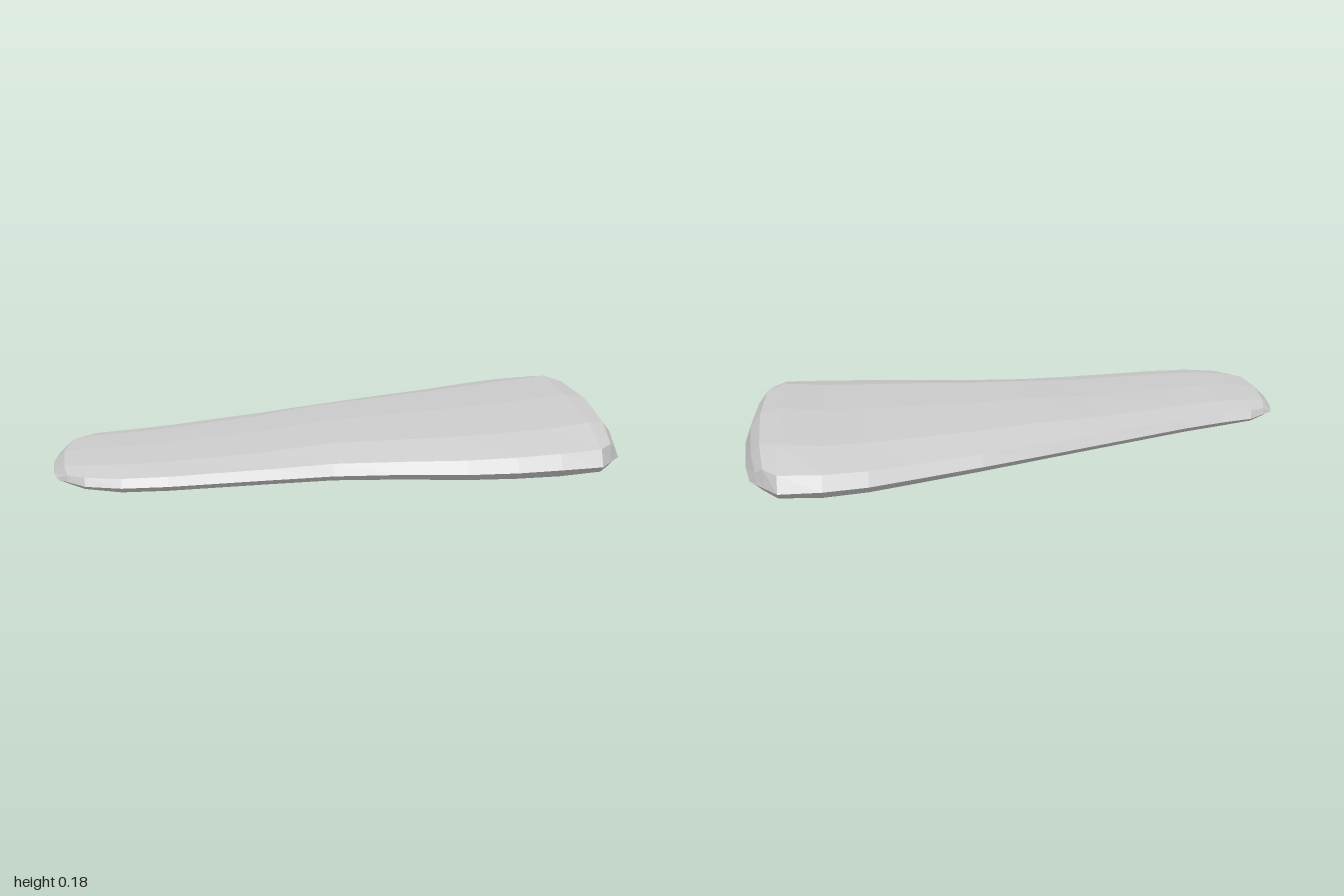
import * as THREE from 'three';

// Cross-sections along x: [x, end bulge, back z, front z, rim y, shoulder y, top y, bottom y]
const STATIONS = [
  [-0.97, -0.03, 0.03, 0.36, 0.055, 0.055, 0.055, 0.055],
  [-0.93, -0.03, 0.00, 0.40, 0.057, 0.078, 0.096, 0.043],
  [-0.87, -0.015, -0.04, 0.45, 0.058, 0.084, 0.105, 0.032],
  [-0.75, 0, -0.062, 0.48, 0.058, 0.086, 0.110, 0.020],
  [-0.60, 0, -0.10, 0.48, 0.058, 0.087, 0.112, 0.018],
  [-0.27, 0, -0.205, 0.455, 0.058, 0.090, 0.121, 0.016],
  [-0.05, 0, -0.275, 0.44, 0.058, 0.095, 0.139, 0.014],
  [0.18, 0, -0.35, 0.455, 0.060, 0.098, 0.143, 0.009],
  [0.40, 0, -0.413, 0.48, 0.060, 0.102, 0.151, 0.004],
  [0.57, 0, -0.465, 0.487, 0.062, 0.108, 0.157, 0.002],
  [0.72, 0, -0.492, 0.485, 0.066, 0.115, 0.165, 0.002],
  [0.865, 0, -0.492, 0.475, 0.068, 0.122, 0.183, 0.015],
  [0.91, 0.03, -0.43, 0.417, 0.064, 0.122, 0.165, 0.028],
  [0.937, 0.04, -0.39, 0.38, 0.060, 0.095, 0.120, 0.040],
  [0.96, 0.04, -0.36, 0.35, 0.055, 0.055, 0.055, 0.055],
];

// One ring of points: front rim, over the crowned top, back rim, under the flat sole
function ring([x, bulge, zBack, zFront, rim, shoulder, top, bottom]) {
  const c = (zBack + zFront) / 2, w = (zFront - zBack) / 2;
  const upper = top - (top - shoulder) * 0.24;
  const lower = bottom + (rim - bottom) * 0.06;
  const edge = bottom + (rim - bottom) * 0.5;
  const section = [
    [1, rim], [0.94, shoulder], [0.62, upper], [0, top], [-0.62, upper], [-0.94, shoulder],
    [-1, rim], [-0.94, edge], [-0.62, lower], [0, bottom], [0.62, lower], [0.94, edge],
  ];
  return section.map(([t, y]) => [x + bulge * (1 - t * t), y, c + t * w]);
}

// Skin the rings into a closed shell; the end rings collapse to a curved edge
function loft(rings) {
  const n = rings[0].length, index = [];
  for (let i = 0; i < rings.length - 1; i++) {
    for (let j = 0; j < n; j++) {
      const k = (j + 1) % n;
      const a = i * n + j, b = i * n + k, c = a + n, d = b + n;
      index.push(a, c, b, b, c, d);
    }
  }
  const geometry = new THREE.BufferGeometry();
  geometry.setAttribute('position', new THREE.Float32BufferAttribute(rings.flat(2), 3));
  geometry.setIndex(index);
  const flat = geometry.toNonIndexed();
  flat.computeVertexNormals();
  return flat;
}

export function createModel() {
  const group = new THREE.Group();
  group.name = 'taperedSlab';
  const material = new THREE.MeshStandardMaterial({ color: 0xcccccc, flatShading: true });
  const body = new THREE.Mesh(loft(STATIONS.map(ring)), material);
  body.name = 'slabBody';
  group.add(body);
  return group;
}
